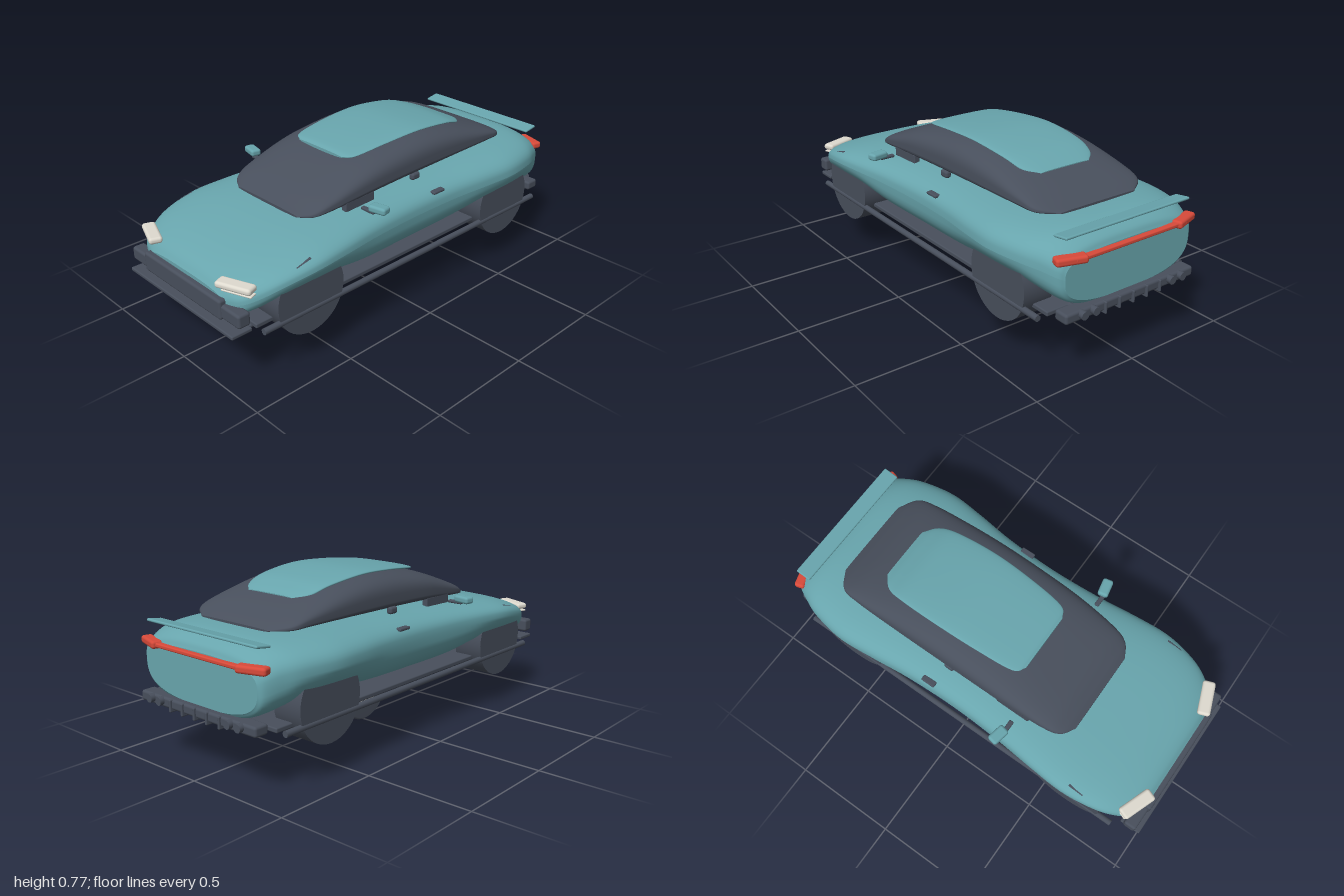
import * as THREE from 'three';
import { RoundedBoxGeometry } from 'three/addons/geometries/RoundedBoxGeometry.js';

const mat = (name, color) => {
  const m = new THREE.MeshStandardMaterial({ color });
  m.name = name;
  return m;
};

// Lofts superellipse sections along z, front to back.
// Row: [z, halfWidth, top, widestHeight, bottom, lowerExponent]
function loft(rows, upperN, steps = 72, sides = 64) {
  const a = new THREE.CatmullRomCurve3(rows.map(r => new THREE.Vector3(r[0], r[1], r[2])), false, 'catmullrom', 0.5);
  const b = new THREE.CatmullRomCurve3(rows.map(r => new THREE.Vector3(r[3], r[4], r[5])), false, 'catmullrom', 0.5);
  const pos = [], idx = [];
  const ring = t => {
    const p = a.getPoint(t), q = b.getPoint(t);
    for (let j = 0; j <= sides; j++) {
      const ang = (j / sides) * Math.PI * 2, c = Math.cos(ang), s = Math.sin(ang);
      const n = s >= 0 ? upperN : q.z;
      const x = Math.sign(c) * Math.abs(c) ** (2 / n) * p.y;
      const y = q.x + Math.abs(s) ** (2 / n) * (s >= 0 ? p.z - q.x : q.y - q.x);
      pos.push(x, y, p.x);
    }
  };
  for (let i = 0; i <= steps; i++) ring(i / steps);
  const w = sides + 1;
  for (let i = 0; i < steps; i++) {
    for (let j = 0; j < sides; j++) {
      const k = i * w + j;
      idx.push(k, k + w, k + 1, k + 1, k + w, k + w + 1);
    }
  }
  // Flat end caps with their own vertices
  for (const end of [0, 1]) {
    const start = pos.length / 3;
    ring(end);
    const centre = pos.length / 3, r = rows[end ? rows.length - 1 : 0];
    pos.push(0, r[3], r[0]);
    for (let j = 0; j < sides; j++) {
      if (end) idx.push(centre, start + j + 1, start + j);
      else idx.push(centre, start + j, start + j + 1);
    }
  }
  const g = new THREE.BufferGeometry();
  g.setAttribute('position', new THREE.Float32BufferAttribute(pos, 3));
  g.setIndex(idx);
  g.computeVertexNormals();
  return g;
}

export function createModel() {
  const car = new THREE.Group();
  car.name = 'car';
  const paint = mat('teal paint', 0x68a5ad);
  const dark = mat('dark trim', 0x484f5c);
  const white = mat('off white', 0xdedacf);
  const red = mat('red lamp', 0xd84a3a);

  const add = (name, geo, m, x = 0, y = 0, z = 0) => {
    const mesh = new THREE.Mesh(geo, m);
    mesh.name = name;
    mesh.position.set(x, y, z);
    car.add(mesh);
    return mesh;
  };
  const box = (name, m, w, h, d, x, y, z, r = 0.006) =>
    add(name, new RoundedBoxGeometry(w, h, d, 2, Math.min(r, w / 2.1, h / 2.1, d / 2.1)), m, x, y, z);

  // Body shell, with fenders bulging over the wheels
  add('body', loft([
    [0.957, 0.26, 0.41, 0.37, 0.30, 2.5],
    [0.93, 0.33, 0.442, 0.38, 0.285, 2.5],
    [0.88, 0.375, 0.472, 0.40, 0.275, 2.2],
    [0.78, 0.42, 0.507, 0.435, 0.27, 1.8],
    [0.62, 0.446, 0.542, 0.46, 0.27, 1.7],
    [0.45, 0.436, 0.562, 0.465, 0.27, 1.9],
    [0.25, 0.415, 0.575, 0.465, 0.27, 2.5],
    [0, 0.404, 0.585, 0.465, 0.27, 2.6],
    [-0.25, 0.414, 0.592, 0.47, 0.27, 2.4],
    [-0.45, 0.438, 0.598, 0.475, 0.27, 1.9],
    [-0.62, 0.451, 0.602, 0.478, 0.27, 1.7],
    [-0.78, 0.425, 0.602, 0.475, 0.27, 1.9],
    [-0.87, 0.39, 0.592, 0.465, 0.275, 2.4],
    [-0.93, 0.36, 0.562, 0.45, 0.285, 2.8],
    [-0.95, 0.335, 0.53, 0.44, 0.305, 2.8],
  ], 2.9), paint);

  // Glass canopy and roof panel
  add('canopy', loft([
    [0.52, 0.20, 0.573, 0.567, 0.56, 2.5],
    [0.48, 0.26, 0.603, 0.577, 0.56, 2.5],
    [0.40, 0.286, 0.645, 0.592, 0.562, 2.5],
    [0.20, 0.300, 0.717, 0.615, 0.568, 2.5],
    [0, 0.303, 0.752, 0.625, 0.575, 2.5],
    [-0.20, 0.304, 0.763, 0.63, 0.58, 2.5],
    [-0.40, 0.303, 0.740, 0.63, 0.588, 2.5],
    [-0.60, 0.298, 0.685, 0.627, 0.595, 2.5],
    [-0.70, 0.280, 0.645, 0.618, 0.60, 2.5],
    [-0.76, 0.20, 0.614, 0.609, 0.604, 2.5],
  ], 3.5), dark);
  add('roofPanel', loft([
    [0.21, 0.14, 0.729, 0.724, 0.715, 2],
    [0.17, 0.185, 0.743, 0.732, 0.715, 2],
    [0, 0.205, 0.764, 0.750, 0.735, 2],
    [-0.20, 0.213, 0.774, 0.758, 0.74, 2],
    [-0.40, 0.206, 0.754, 0.738, 0.72, 2],
    [-0.50, 0.186, 0.726, 0.710, 0.695, 2],
    [-0.555, 0.13, 0.703, 0.698, 0.69, 2],
  ], 2.5, 36), paint);

  // Floor
  box('floor', dark, 0.70, 0.022, 1.74, 0, 0.263, 0);

  // Single central wheel with a bevelled tyre
  const tyreProfile = [[0, -0.05], [0.145, -0.057], [0.155, -0.046], [0.155, 0.046], [0.145, 0.057], [0, 0.05]]
    .map(p => new THREE.Vector2(...p));
  const tyre = add('centreTyre', new THREE.LatheGeometry(tyreProfile, 48), dark, 0, 0.155, 0.005);
  tyre.rotation.z = Math.PI / 2;

  // Front bumper and splitter
  box('bumperCentre', dark, 0.54, 0.09, 0.07, 0, 0.348, 0.948, 0.012);
  box('bumperWide', dark, 0.76, 0.062, 0.06, 0, 0.34, 0.945, 0.012);
  box('splitter', dark, 0.73, 0.018, 0.10, 0, 0.274, 0.95);
  box('lowerLip', dark, 0.64, 0.014, 0.06, 0, 0.252, 0.87);

  // Rear diffuser with fins, tail light bar and spoiler
  box('diffuser', dark, 0.70, 0.045, 0.07, 0, 0.285, -0.945, 0.012);
  for (let i = -2; i <= 2; i++) box('diffuserFin', dark, 0.012, 0.055, 0.08, i * 0.075, 0.28, -0.95);
  box('tailLightBar', red, 0.60, 0.018, 0.03, 0, 0.517, -0.957);
  const spoiler = box('spoiler', paint, 0.665, 0.012, 0.075, 0, 0.601, -0.907);
  spoiler.rotation.x = 0.15;

  for (const s of [-1, 1]) {
    // Hub of the central wheel
    const hub = add('hub', new THREE.SphereGeometry(0.1, 32, 12, 0, Math.PI * 2, 0, Math.PI / 2), white, s * 0.05, 0.155, 0.005);
    hub.scale.y = 0.1;
    hub.rotation.z = -s * Math.PI / 2;

    // Wheel pods tucked under the fenders
    for (const z of [0.625, -0.62]) {
      const pod = add('wheelPod', new THREE.CylinderGeometry(0.175, 0.175, 0.145, 40), dark, s * 0.332, 0.33, z);
      pod.rotation.z = Math.PI / 2;
    }

    // Side rail
    const rail = add('sideRail', new THREE.CylinderGeometry(0.014, 0.014, 1.74, 12), dark, s * 0.396, 0.262, 0);
    rail.rotation.x = Math.PI / 2;

    // Headlights
    const lamp = box('headlight', white, 0.165, 0.03, 0.06, s * 0.295, 0.449, 0.918, 0.013);
    lamp.rotation.y = s * 0.36;
    const strip = box('headlightStrip', white, 0.14, 0.008, 0.04, s * 0.308, 0.427, 0.915, 0.004);
    strip.rotation.y = s * 0.36;

    // Tail light ends and exhaust pipes
    const tail = box('tailLight', red, 0.135, 0.034, 0.05, s * 0.305, 0.517, -0.942, 0.012);
    tail.rotation.y = -s * 0.3;
    for (const x of [0.21, 0.27]) {
      const pipe = add('exhaust', new THREE.CylinderGeometry(0.018, 0.018, 0.09, 16), dark, s * x, 0.29, -0.955);
      pipe.rotation.x = Math.PI / 2;
    }

    // Mirrors on stalks, with the window corner behind
    const mirror = box('mirror', paint, 0.085, 0.033, 0.05, s * 0.424, 0.599, 0.265, 0.012);
    mirror.rotation.y = s * 0.2;
    box('mirrorStalk', dark, 0.075, 0.014, 0.022, s * 0.372, 0.578, 0.275);
    box('windowCorner', dark, 0.03, 0.05, 0.17, s * 0.278, 0.578, 0.245);
    box('windowLatch', dark, 0.03, 0.034, 0.05, s * 0.29, 0.592, -0.095, 0.012);

    // Door handle and fender vent
    box('doorHandle', dark, 0.03, 0.014, 0.07, s * 0.388, 0.533, -0.143);
    const vent = box('fenderVent', dark, 0.014, 0.01, 0.08, s * 0.407, 0.495, 0.668);
    vent.rotation.x = 0.25;
  }
  return car;
}
